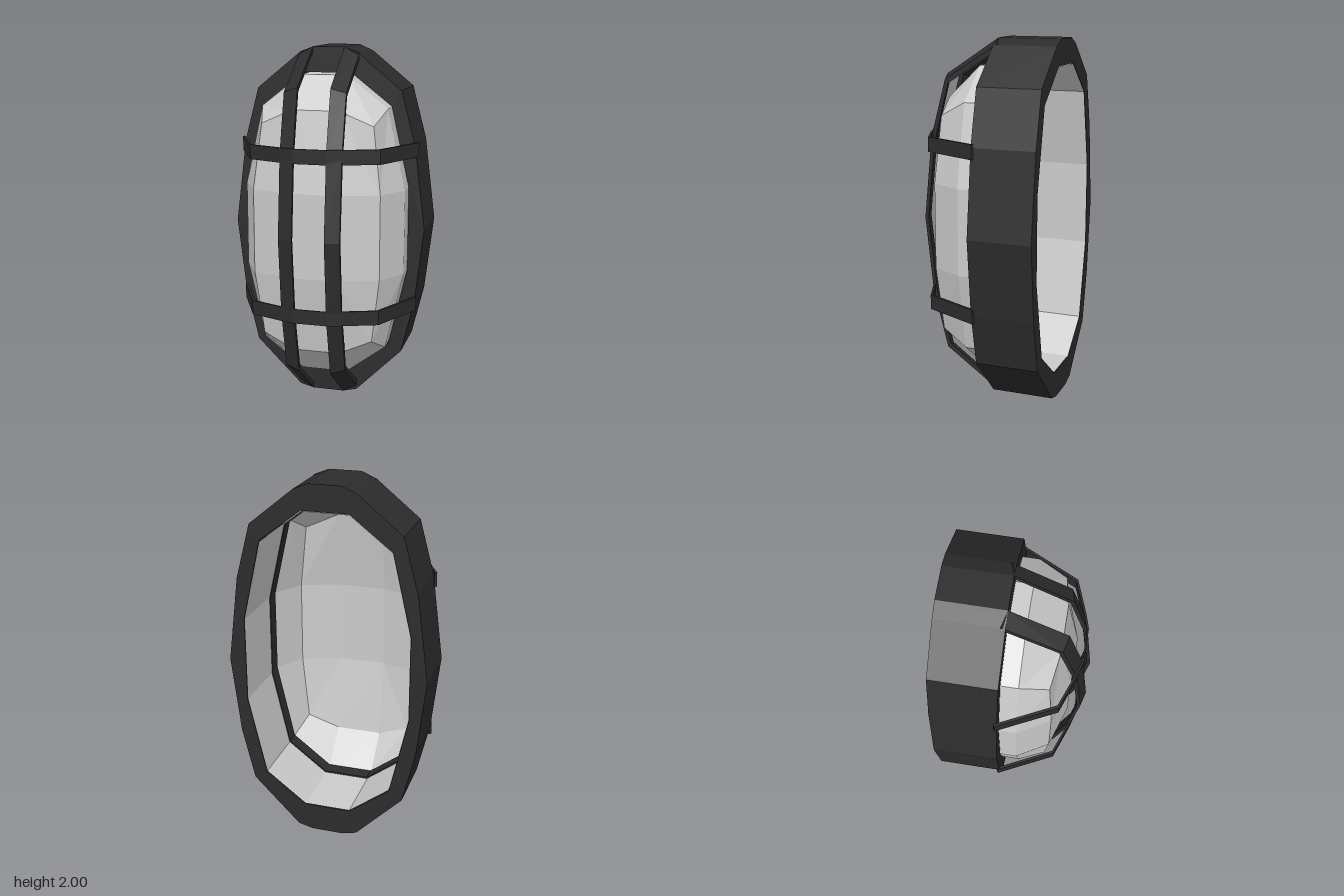
import * as THREE from 'three';

const dark = new THREE.MeshStandardMaterial({ color: 0x2c2c2c, flatShading: true, side: THREE.DoubleSide });
const grey = new THREE.MeshStandardMaterial({ color: 0xcccccc, flatShading: true, side: THREE.DoubleSide });

// Right half of an outline, closed by its mirror image
const mirrored = half => [...half, ...half.map(([x, ...rest]) => [-x, ...rest]).reverse()];
const vec2 = pts => pts.map(([x, y]) => new THREE.Vector2(x, y));

const rimOutline = mirrored([[0.09, 2], [0.17, 1.965], [0.41, 1.77], [0.49, 1.47], [0.55, 1],
  [0.5, 0.57], [0.43, 0.28], [0.17, 0.02], [0.09, 0]]);
const lensOutline = mirrored([[0.13, 1.855], [0.355, 1.68], [0.455, 1.24], [0.455, 0.77], [0.355, 0.33], [0.13, 0.16]]);
const lensBevel = mirrored([[0.13, 1.68, 0.23], [0.31, 1.6, 0.2], [0.355, 1.24, 0.225],
  [0.355, 0.77, 0.225], [0.31, 0.41, 0.2], [0.13, 0.335, 0.23]]);

// Lens outline scaled about its middle
const scaledLens = s => lensOutline.map(([x, y]) => [x * s, 1.005 + (y - 1.005) * s]);

function extrude(outline, hole, depth) {
  const shape = new THREE.Shape(vec2(outline));
  if (hole) shape.holes.push(new THREE.Path(vec2(hole)));
  return new THREE.ExtrudeGeometry(shape, { depth, bevelEnabled: false });
}

function quadGeometry(quads) {
  const pos = quads.flatMap(([a, b, c, d]) => [a, b, c, a, c, d].flat());
  const geo = new THREE.BufferGeometry();
  geo.setAttribute('position', new THREE.Float32BufferAttribute(pos, 3));
  geo.computeVertexNormals();
  return geo;
}

// Faceted lens: side wall, bevel ring and three front columns
function lensGeometry() {
  const at = z => lensOutline.map(([x, y]) => [x, y, z]);
  const loops = [at(-0.388), at(0.05), lensBevel];
  const quads = [];
  for (let k = 0; k < 2; k++) {
    const [a, b] = [loops[k], loops[k + 1]];
    a.forEach((p, i) => {
      const j = (i + 1) % a.length;
      quads.push([p, b[i], b[j], a[j]]);
    });
  }
  const c = lensBevel;
  const right = [c[0], [0.13, 1.24, 0.3], [0.13, 0.77, 0.3], c[5]];
  const left = right.map(([x, y, z]) => [-x, y, z]);
  for (let i = 0; i < 3; i++) {
    quads.push([left[i], left[i + 1], right[i + 1], right[i]]);
    quads.push([right[i], right[i + 1], c[[2, 3, 4][i]], c[[1, 2, 3][i]]]);
    quads.push([left[i], c[[10, 9, 8][i]], c[[9, 8, 7][i]], left[i + 1]]);
  }
  return quadGeometry(quads);
}

// Upright bar, following the dome and leaning back towards its outer side
function uprightBar(side) {
  const outer = [[-0.04, 2], [0.26, 1.8], [0.345, 1.47], [0.39, 1], [0.345, 0.56], [0.26, 0.22], [-0.04, 0]];
  const inner = outer.map(([z, y]) => [z - 0.02, y - 0.02 * Math.sign(y - 1)]).reverse();
  const geo = extrude([...outer, ...inner], null, 0.08);
  geo.rotateY(-Math.PI / 2).translate(side > 0 ? 0.17 : -0.09, 0, 0);
  const p = geo.attributes.position;
  for (let i = 0; i < p.count; i++) {
    const t = (Math.abs(p.getX(i)) - 0.09) / 0.08;
    p.setY(i, 1 + (p.getY(i) - 1) * (1 - 0.03 * t));
    p.setZ(i, p.getZ(i) - 0.02 * t);
  }
  geo.computeVertexNormals();
  return geo;
}

// Cross bar, bent around the lens
function crossBar(top) {
  const outer = mirrored([[0.51, -0.05], [0.36, 0.257], [0.17, 0.327], [0.09, 0.35]].reverse());
  const half = outer.slice(0, 4).reverse();
  const path = [...half, ...half.map(([x, z]) => [-x, z]).reverse()];
  const inner = path.map(([x, z]) => [x - 0.012 * Math.sign(x), z - 0.008]).reverse();
  return extrude([...path, ...inner], null, 0.08).rotateX(Math.PI / 2).translate(0, top, 0);
}

export function createModel() {
  const model = new THREE.Group();
  model.name = 'bulkheadLamp';
  const add = (parent, name, geo, mat) => {
    const mesh = new THREE.Mesh(geo, mat);
    mesh.name = name;
    parent.add(mesh);
  };

  add(model, 'rim', extrude(rimOutline, scaledLens(1.006), 0.35).translate(0, 0, -0.39), dark);
  add(model, 'lens', lensGeometry(), grey);
  // Dark seal inside the lens wall
  add(model, 'seal', extrude(scaledLens(0.995), scaledLens(0.985), 0.08).translate(0, 0, -0.035), dark);

  const cage = new THREE.Group();
  cage.name = 'cage';
  add(cage, 'leftUprightBar', uprightBar(1), dark);
  add(cage, 'rightUprightBar', uprightBar(-1), dark);
  add(cage, 'upperCrossBar', crossBar(1.49), dark);
  add(cage, 'lowerCrossBar', crossBar(0.61), dark);
  model.add(cage);
  return model;
}
